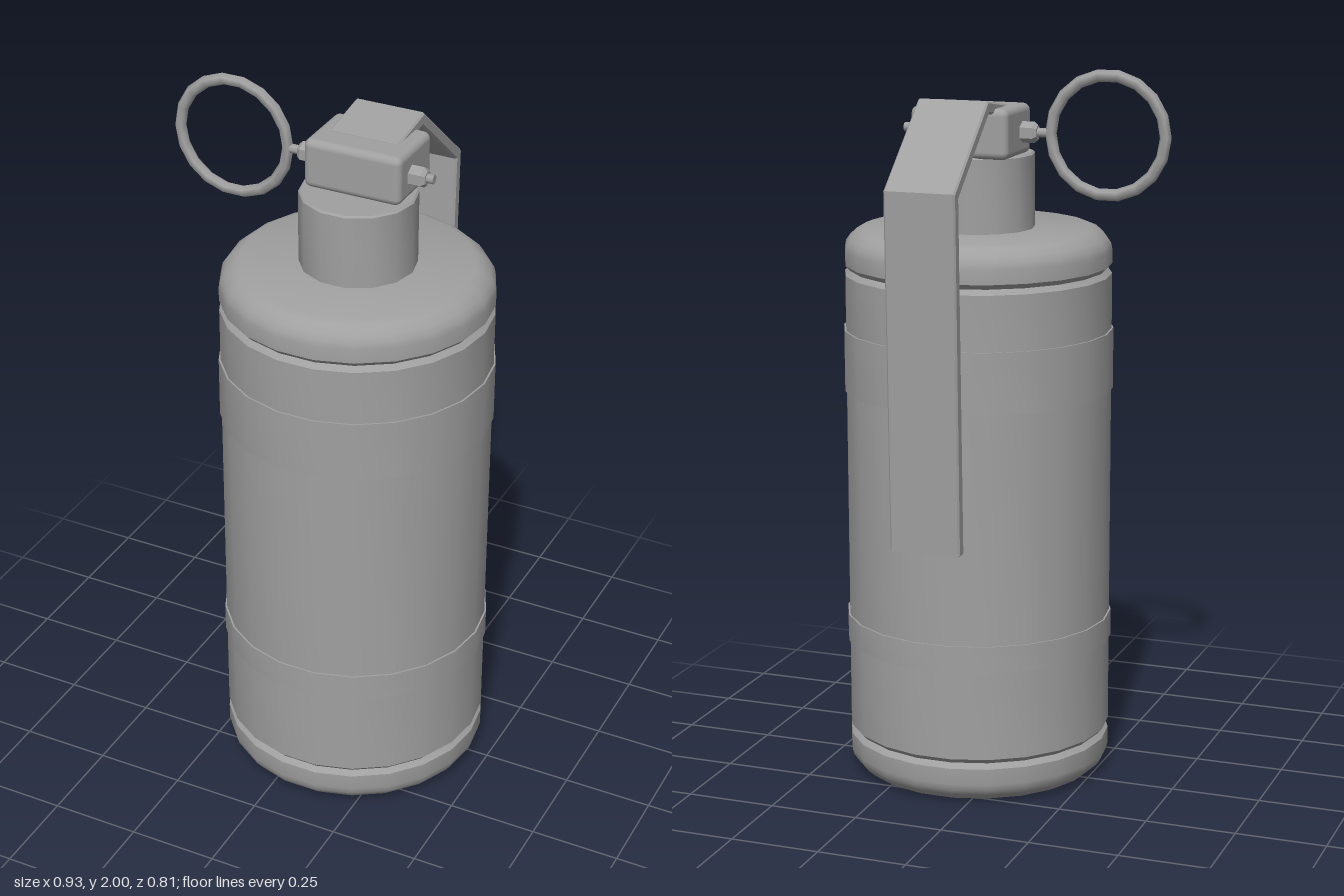
import * as THREE from 'three';
import { toCreasedNormals } from 'three/addons/utils/BufferGeometryUtils.js';
import { RoundedBoxGeometry } from 'three/addons/geometries/RoundedBoxGeometry.js';

const AXIS_X = 0.093, AXIS_Z = 0.04; // axis of the canister
const PIN_Y = 1.823, PIN_Z = 0.01; // axis of the safety pin

export function createModel() {
  const group = new THREE.Group();
  const metal = new THREE.MeshStandardMaterial({ color: 0xa0a0a0 });
  metal.name = 'grey metal';

  const add = (name, geometry, x = 0, y = 0, z = 0) => {
    const mesh = new THREE.Mesh(geometry, metal);
    mesh.name = name;
    mesh.position.set(x, y, z);
    group.add(mesh);
    return mesh;
  };
  // Turned part from [radius, height] pairs, listed bottom to top
  const turned = (profile, sides, crease = 0.5) => toCreasedNormals(
    new THREE.LatheGeometry(profile.map(([r, y]) => new THREE.Vector2(r, y)), sides, Math.PI / 2), crease);

  // Canister with rounded end caps, two grooves and two raised bands
  const R = 0.37, BAND = 0.375;
  add('canister', turned([
    [0, 0], [0.315, 0], [0.335, 0.008], [0.355, 0.026], [0.366, 0.042], [R, 0.06],
    [R, 0.106], [0.357, 0.12], [R, 0.134],
    [R, 0.385], [BAND, 0.385], [BAND, 0.46], [R, 0.46],
    [R, 1.105], [BAND, 1.105], [BAND, 1.275], [R, 1.275],
    [R, 1.428], [0.357, 1.442], [R, 1.456],
    [R, 1.495], [0.366, 1.513], [0.355, 1.529], [0.335, 1.547], [0.315, 1.555], [0, 1.555],
  ], 22), AXIS_X, 0, AXIS_Z);

  // Neck
  add('neck', turned([[0, 1.54], [0.158, 1.54], [0.158, 1.757], [0.153, 1.762], [0, 1.762]], 14),
    AXIS_X, 0, AXIS_Z - 0.002);

  // Fuse head block
  add('fuseHead', new RoundedBoxGeometry(0.278, 0.137, 0.2, 3, 0.02), 0.092, 1.827, -0.015);

  // Hexagonal bosses on either side of the head
  for (const side of [-1, 1]) {
    const boss = add(side > 0 ? 'leftBoss' : 'rightBoss',
      turned([[0, -0.02], [0.029, -0.02], [0.029, 0.026], [0.02, 0.036], [0, 0.036]], 6),
      0.092 + side * 0.148, PIN_Y, PIN_Z);
    boss.rotation.z = -side * Math.PI / 2;
  }

  // Safety pin running through the head
  const pin = new THREE.CylinderGeometry(0.013, 0.013, 0.42, 8);
  pin.rotateZ(Math.PI / 2);
  add('safetyPin', pin, 0.085, PIN_Y, PIN_Z);

  // Pull ring
  add('pullRing', new THREE.TorusGeometry(0.161, 0.0165, 6, 18), -0.289, PIN_Y, PIN_Z);

  // Bent lever: side outline (backward distance, height) extruded across its width
  const outline = [
    [0.0, 1.892], [0.152, 1.916], [0.398, 1.705], [0.374, 0.734],
    [0.349, 0.734], [0.376, 1.694], [0.146, 1.892], [0.0, 1.868],
  ];
  const lever = new THREE.ExtrudeGeometry(
    new THREE.Shape(outline.map(([u, v]) => new THREE.Vector2(u, v))),
    { depth: 0.19, bevelEnabled: true, bevelSize: 0.005, bevelThickness: 0.005, bevelSegments: 1 });
  lever.rotateY(Math.PI / 2);
  add('lever', lever, -0.005, 0, 0);

  return group;
}
